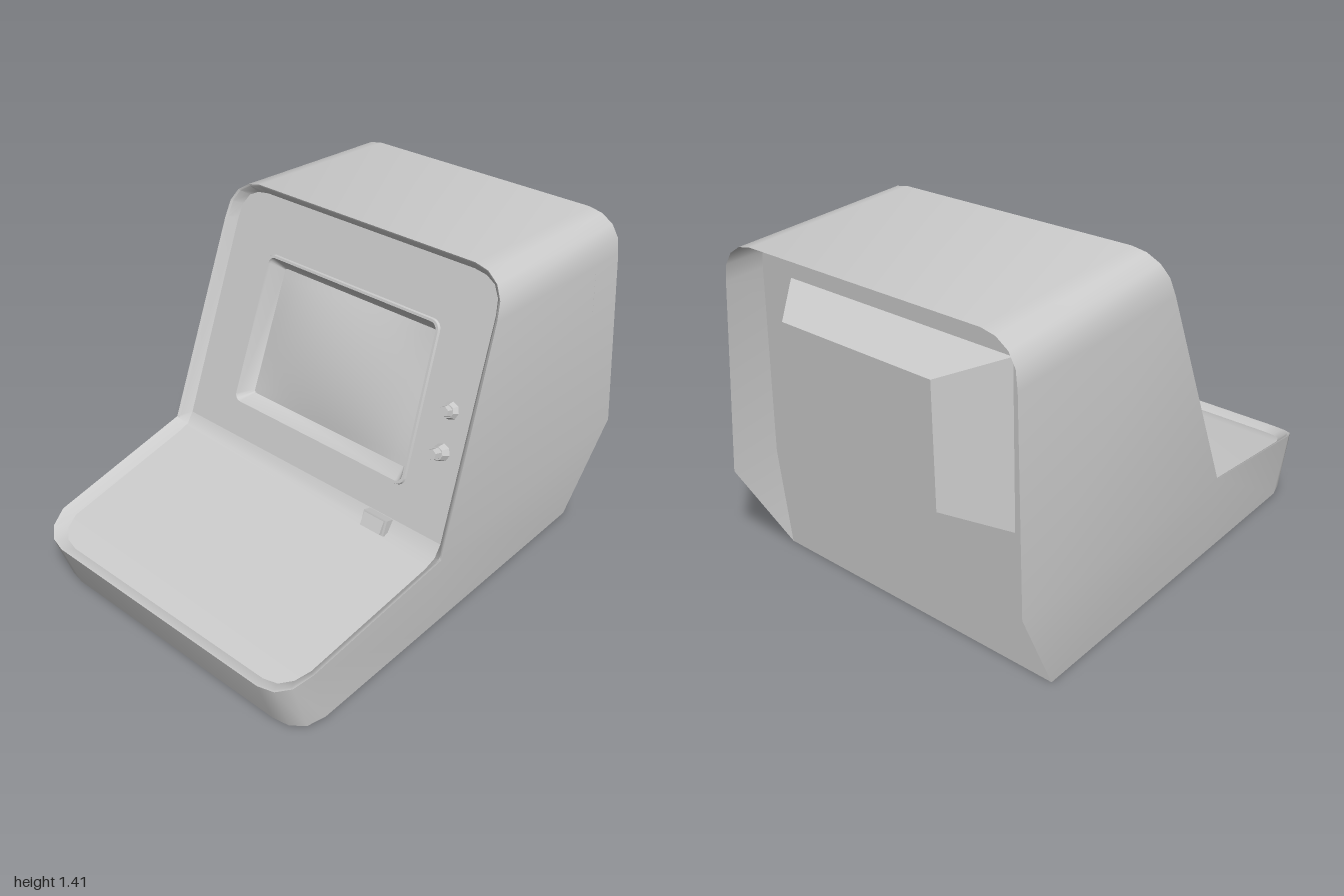
import * as THREE from 'three';
import { toCreasedNormals } from 'three/addons/utils/BufferGeometryUtils.js';

const V = (x, y, z) => new THREE.Vector3(x, y, z);
const TILT = Math.atan(0.3575); // lean of the screen panel
const COS = Math.cos(TILT), SIN = Math.sin(TILT);
const ORIGIN = V(0, 0.38, 0.155); // where the panel frame sits

const grey = new THREE.MeshStandardMaterial({ color: 0xcccccc, side: THREE.DoubleSide });

function part(parent, name, geometry, x = 0, y = 0, z = 0) {
  const mesh = new THREE.Mesh(geometry, grey);
  mesh.name = name;
  mesh.position.set(x, y, z);
  parent.add(mesh);
  return mesh;
}

// Skin between rows of points
function loft(rows, closed, crease = 0.75) {
  const n = rows[0].length, index = [];
  for (let r = 0; r < rows.length - 1; r++) {
    for (let i = 0; i < (closed ? n : n - 1); i++) {
      const a = r * n + i, b = r * n + (i + 1) % n;
      index.push(a, a + n, b, b, a + n, b + n);
    }
  }
  const g = new THREE.BufferGeometry().setFromPoints(rows.flat());
  g.setIndex(index);
  return toCreasedNormals(g, crease);
}

// Right-hand half outline continued by its mirror image
const mirror = half => [...half, ...half.slice().reverse().map(p => V(-p.x, p.y, p.z))];
const shape2 = pts => new THREE.Shape(pts.map(([x, y]) => new THREE.Vector2(x, y)));
const mirror2 = half => [...half, ...half.slice().reverse().map(([x, y]) => [-x, y])];

export function createModel() {
  const model = new THREE.Group();
  model.name = 'desktopTerminal';

  // Outer rim of the opening: round the tray, then up the screen to the top
  const topCorner = [[0.69, 1.25], [0.68, 1.32], [0.65, 1.37], [0.6, 1.403], [0.54, 1.415]];
  const knee = V(0.735, 0.38, 0.2);
  const rim = [
    V(0.55, 0.215, 1), V(0.62, 0.222, 0.985), V(0.67, 0.24, 0.945), V(0.7, 0.27, 0.87),
    knee, knee.clone(), knee.clone(),
    ...topCorner.map(([x, y]) => V(x, y, 0.2 - 0.3575 * (y - 0.38))),
  ];

  // Matching edge along the base and round the open back
  const backTop = topCorner.map(([x, y]) => [x, y - 0.035]);
  const base = [
    V(0.55, 0, 0.93), V(0.62, 0, 0.917), V(0.67, 0, 0.875), V(0.69, 0, 0.8),
    V(0.69, 0, 0.2), V(0.69, 0, -0.79), V(0.735, 0.42, -1),
    ...backTop.map(([x, y]) => V(x, y, -1 + 0.05 * (y - 0.42) / 0.96)),
  ];
  part(model, 'shell', loft([mirror(base), mirror(rim)], true));

  // Recessed edge where the rim meets the tray floor and screen panel
  const panelEdge = [[0.69, 0.02], [0.655, 0.92], [0.645, 0.98], [0.617, 1.025], [0.575, 1.047], [0.52, 1.055]];
  const inner = [
    V(0.53, 0.2, 0.95), V(0.59, 0.206, 0.937), V(0.635, 0.222, 0.9), V(0.66, 0.24, 0.84),
    V(0.69, 0.335, 0.235), V(0.69, 0.352, 0.18),
    ...panelEdge.map(([x, v]) => V(x, ORIGIN.y + v * COS, ORIGIN.z - v * SIN)),
  ];
  const lip = rim.map((p, i) => p.clone().lerp(inner[i], 0.28).add(V(0, 0.004, 0.006)));
  part(model, 'rim', loft([mirror(rim), mirror(lip), mirror(inner)], true, 0.5));

  // Tray floor, curving up into the panel
  const floorRows = inner.slice(0, 7).map(p => [V(-p.x, p.y, p.z), p]);
  part(model, 'trayFloor', loft(floorRows, false));

  // Base plate
  const plate = new THREE.ShapeGeometry(shape2(mirror2(
    [...base.slice(0, 4), base[5]].map(p => [p.x, p.z]))));
  part(model, 'basePlate', plate.rotateX(Math.PI / 2));

  // Back panel set inside the shell, with the tube housing on it
  const backOutline = [[0.69, 0], [0.733, 0.42], ...backTop.map(([x, y]) => [x, y + 0.007])];
  part(model, 'backPanel', new THREE.ShapeGeometry(shape2(mirror2(backOutline))).rotateY(Math.PI), 0, 0, -0.79);
  const housing = new THREE.BoxGeometry(1.06, 0.66, 0.195);
  const hp = housing.attributes.position;
  for (let i = 0; i < hp.count; i++) {
    if (hp.getZ(i) < 0) {
      hp.setX(i, Math.sign(hp.getX(i)) * 0.355);
      hp.setY(i, hp.getY(i) > 0 ? 0.27 : -0.22);
    }
  }
  housing.computeVertexNormals();
  part(model, 'tubeHousing', housing, 0, 0.89, -0.8875);

  // Tilted front panel: local y runs up it, local z points out of it
  const panel = new THREE.Group();
  panel.name = 'frontPanel';
  panel.position.copy(ORIGIN);
  panel.rotation.x = -TILT;
  model.add(panel);

  // Rounded, slightly tapered screen outline
  const TOP = 0.828, BOTTOM = 0.159;
  const halfWidth = v => 0.47 - 0.025 * (v - BOTTOM) / (TOP - BOTTOM);
  const screenRing = (inset, z, r) => {
    const half = [];
    for (const [v, start] of [[BOTTOM + inset + r, -90], [TOP - inset - r, 0]]) {
      for (let k = 0; k <= 4; k++) {
        const a = THREE.MathUtils.degToRad(start + k * 22.5);
        half.push(V(halfWidth(v) - inset - r + r * Math.cos(a), v + r * Math.sin(a), z));
      }
    }
    return mirror(half);
  };
  const face = shape2(mirror2(panelEdge));
  face.holes.push(new THREE.Path(screenRing(0, 0, 0.04).map(p => new THREE.Vector2(p.x, p.y))));
  part(panel, 'panelFace', new THREE.ShapeGeometry(face));
  part(panel, 'screenBezel', loft([
    screenRing(0, 0, 0.04), screenRing(0.004, 0.01, 0.036), screenRing(0.014, 0.01, 0.03),
    screenRing(0.018, 0, 0.026), screenRing(0.054, -0.06, 0.012),
  ], true, 0.6));

  // Bulging tube face
  const glass = new THREE.PlaneGeometry(2, 2, 16, 16);
  const gp = glass.attributes.position;
  for (let i = 0; i < gp.count; i++) {
    const u = gp.getX(i), w = gp.getY(i);
    const v = (TOP + BOTTOM) / 2 + w * ((TOP - BOTTOM) / 2 - 0.053);
    gp.setXYZ(i, u * (halfWidth(v) - 0.053), v, -0.06 + 0.035 * (1 - u * u) * (1 - w * w));
  }
  glass.computeVertexNormals();
  part(panel, 'screen', glass);

  // Two control knobs: faceted collar and hexagonal grip
  for (const [name, x, v, h] of [['upperKnob', 0.58, 0.525, 0.05], ['lowerKnob', 0.59, 0.36, 0.072]]) {
    const knob = new THREE.Group();
    knob.name = name;
    knob.position.set(x, v, 0);
    panel.add(knob);
    const collar = new THREE.CylinderGeometry(0.027, 0.036, h * 0.5, 8).rotateX(Math.PI / 2);
    const grip = new THREE.CylinderGeometry(0.021, 0.024, h * 0.5, 6).rotateX(Math.PI / 2);
    part(knob, 'collar', toCreasedNormals(collar, 0.3), 0, 0, h * 0.25);
    part(knob, 'grip', toCreasedNormals(grip, 0.3), 0, 0, h * 0.75);
  }

  // Rocker switch near the knee
  const rocker = new THREE.Group();
  rocker.name = 'rockerSwitch';
  rocker.position.set(0.402, -0.015, 0);
  panel.add(rocker);
  part(rocker, 'switchFrame', new THREE.BoxGeometry(0.116, 0.066, 0.04), 0, 0, 0.02);
  part(rocker, 'switchKey', new THREE.BoxGeometry(0.098, 0.056, 0.03), 0, 0, 0.038).rotation.x = -0.15;

  return model;
}
